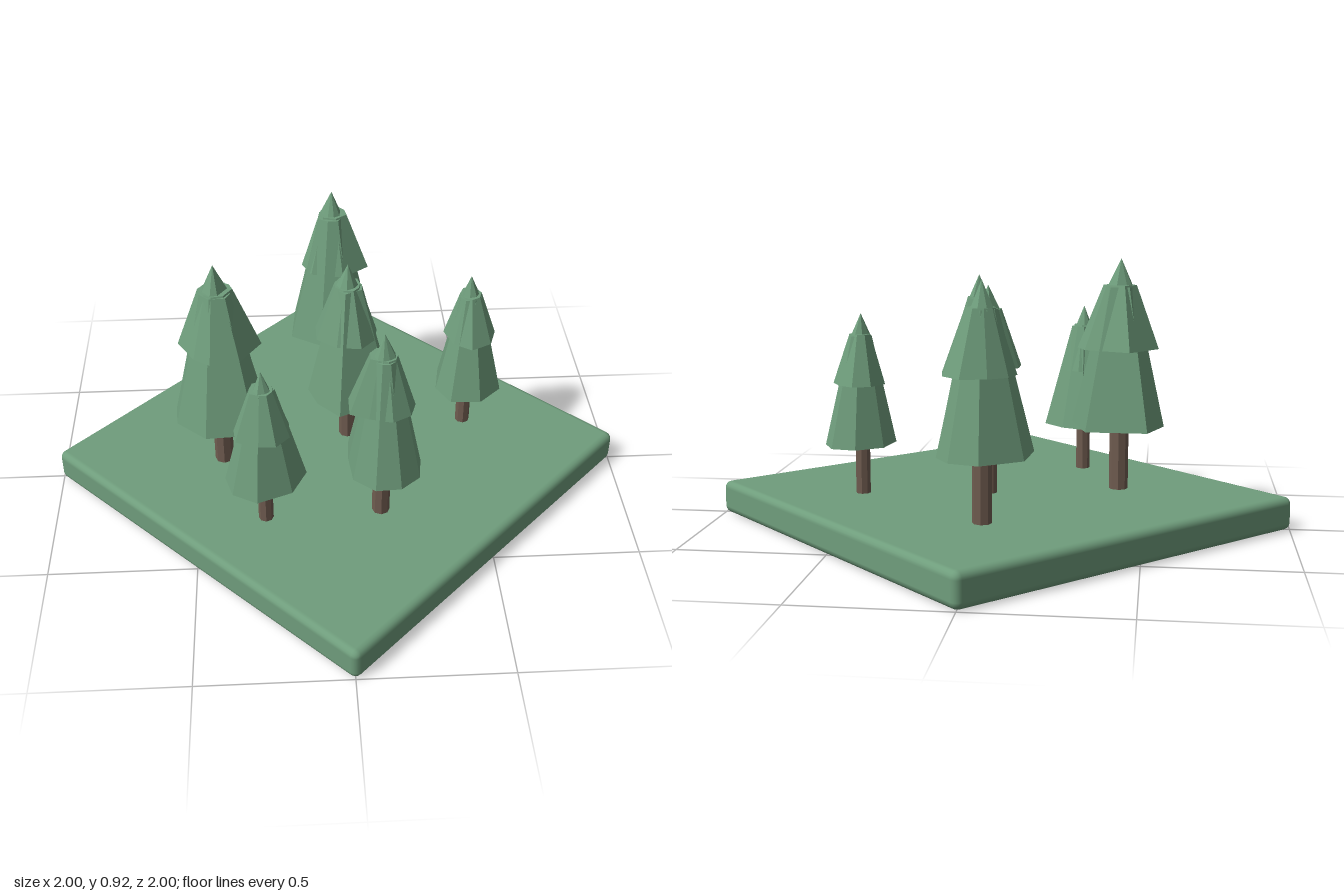
import * as THREE from 'three';
import { RoundedBoxGeometry } from 'three/addons/geometries/RoundedBoxGeometry.js';

const GROUND_TOP = 0.115;

// Each tree: position, height of its lowest branches, tip height, twist of the
// middle tier, and the uneven outline of its skirt (x, z in hundredths).
const trees = [
  { x: -0.41, z: 0.06, low: 0.34, tip: 0.92, twist: 0.9,
    outline: [[11, -15], [17, 7], [12, 16], [-5, 17], [-15, 8], [-15.5, -1], [-10, -15]] },
  { x: 0, z: -0.47, low: 0.33, tip: 0.885, twist: 2.3,
    outline: [[-1, -15], [9, -12], [14, -4], [13, 6], [7, 16], [-5, 16.5], [-15.5, 10], [-14, -6]] },
  { x: 0.035, z: -0.06, low: 0.315, tip: 0.835, twist: 2.6,
    outline: [[-1.5, -13.5], [10, -12], [15.5, -3], [15, 8], [-3.5, 16.5], [-11, 8.5], [-14, 0], [-12, -9]] },
  { x: 0.465, z: -0.115, low: 0.29, tip: 0.738, twist: 0.5,
    outline: [[-0.5, -13.5], [8, -12], [12, -4], [12, 5.5], [4, 13], [-6.5, 12.5], [-11, 4], [-9, -7.5]] },
  { x: -0.265, z: 0.38, low: 0.285, tip: 0.726, twist: 2.1,
    outline: [[-0.5, -14], [7, -10.5], [14, -2.5], [9, 7.5], [-2.5, 12], [-10.5, 7.5], [-13, -1], [-9, -7.5]] },
  { x: 0.125, z: 0.36, low: 0.315, tip: 0.84, twist: 1.2,
    outline: [[0, -16], [11, -12], [13, -1.5], [12, 7.5], [5.5, 13], [-3, 13.5], [-10, 7.5], [-11, -3], [-10.5, -12]] },
];

// Closed, faceted frustum that follows an uneven outline
function tierGeometry(outline, y0, scale0, y1, scale1) {
  const pos = [];
  const n = outline.length;
  const at = (i, y, s) => [outline[i % n][0] * 0.01 * s, y, outline[i % n][1] * 0.01 * s];
  for (let i = 0; i < n; i++) {
    const a = at(i, y0, scale0), an = at(i + 1, y0, scale0);
    const b = at(i, y1, scale1), bn = at(i + 1, y1, scale1);
    pos.push(...a, ...b, ...bn, ...a, ...bn, ...an);
    pos.push(0, y0, 0, ...a, ...an, 0, y1, 0, ...bn, ...b);
  }
  const geo = new THREE.BufferGeometry();
  geo.setAttribute('position', new THREE.Float32BufferAttribute(pos, 3));
  geo.computeVertexNormals();
  return geo;
}

export function createModel() {
  const model = new THREE.Group();
  model.name = 'forestTile';

  const green = new THREE.MeshStandardMaterial({ color: 0x6f9d7c });
  green.name = 'leaf green';
  const brown = new THREE.MeshStandardMaterial({ color: 0x705c50 });
  brown.name = 'bark brown';

  const add = (parent, name, geo, mat) => {
    const mesh = new THREE.Mesh(geo, mat);
    mesh.name = name;
    parent.add(mesh);
    return mesh;
  };

  // Square ground slab with softened edges, turned corner to the front
  const side = 1.429;
  const ground = add(model, 'ground', new RoundedBoxGeometry(side, GROUND_TOP, side, 2, 0.025), green);
  ground.position.y = GROUND_TOP / 2;
  ground.rotation.y = Math.PI / 4;

  trees.forEach((t, i) => {
    const tree = new THREE.Group();
    tree.name = `tree${i + 1}`;
    tree.position.set(t.x, 0, t.z);
    model.add(tree);

    const h = t.tip - t.low;
    const shoulder = t.low + h * 0.845;

    // Trunk, sunk a little into the ground and the branches
    const trunkBottom = GROUND_TOP - 0.01, trunkTop = t.low + 0.04;
    const trunkGeo = new THREE.CylinderGeometry(h * 0.057, h * 0.057, trunkTop - trunkBottom, 8).toNonIndexed();
    trunkGeo.computeVertexNormals();
    add(tree, 'trunk', trunkGeo, brown).position.y = (trunkBottom + trunkTop) / 2;

    // Two overlapping tiers of branches
    add(tree, 'lowerBranches', tierGeometry(t.outline, t.low, 1, shoulder - 0.006, 0.31), green);
    const middle = tierGeometry(t.outline, t.low + h * 0.467, 0.74, shoulder, 0.3);
    add(tree, 'middleBranches', middle, green).rotation.y = t.twist;

    // Pointed tip
    add(tree, 'treeTip', tierGeometry(t.outline, shoulder - 0.01, 0.26, t.tip, 0.002), green).rotation.y = -t.twist;
  });

  return model;
}
